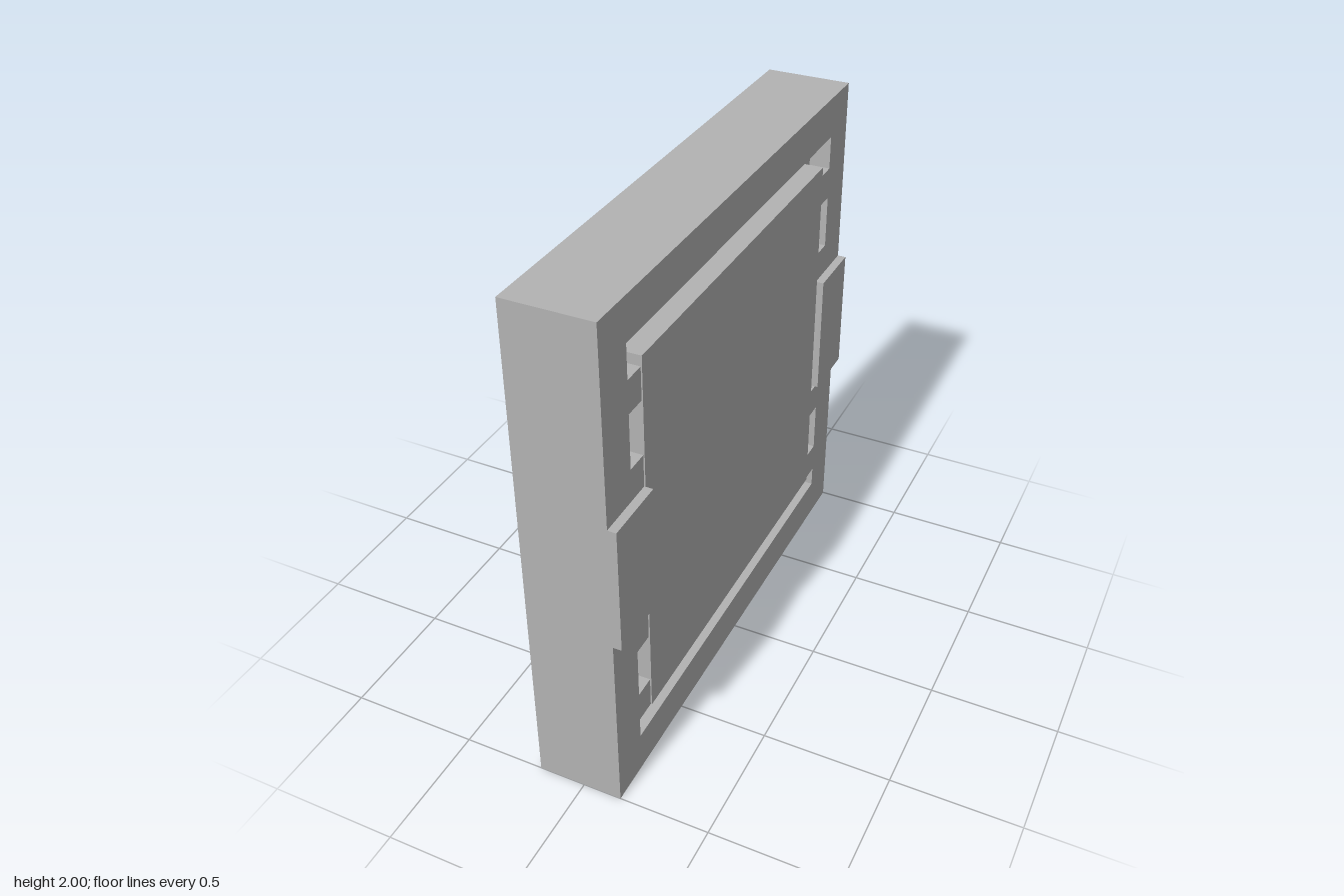
import * as THREE from 'three';

// x positions of the layers, from the back face to the front of the clips
const BACK = -0.183, POCKET = -0.033, FLOOR = 0.067, FACE = 0.15, PANEL = 0.155, CLIP = 0.183;

export function createModel() {
  const group = new THREE.Group();
  const grey = new THREE.MeshStandardMaterial({ color: 0xb3b3b3 });

  const add = (name, geometry) => {
    const mesh = new THREE.Mesh(geometry, grey);
    mesh.name = name;
    group.add(mesh);
  };
  const box = (name, x0, x1, y0, y1, z0, z1) => {
    const g = new THREE.BoxGeometry(x1 - x0, y1 - y0, z1 - z0);
    g.translate((x0 + x1) / 2, (y0 + y1) / 2, (z0 + z1) / 2);
    add(name, g);
  };
  // square slab across z and y with a hole, extruded along x
  const slab = (name, x0, x1, hole) => {
    const toPoints = (list) => list.map(([a, b]) => new THREE.Vector2(a, b));
    const shape = new THREE.Shape(toPoints([[-1, 0], [1, 0], [1, 2], [-1, 2]]));
    shape.holes.push(new THREE.Path(toPoints(hole)));
    const g = new THREE.ExtrudeGeometry(shape, { depth: x1 - x0, bevelEnabled: false });
    g.rotateY(Math.PI / 2);
    g.translate(x0, 0, 0);
    add(name, g);
  };

  // back plate with a square pocket, and the solid core that closes it
  slab('backPlate', BACK, POCKET, [[-0.333, 0.667], [-0.333, 1.333], [0.333, 1.333], [0.333, 0.667]]);
  box('core', POCKET, FLOOR, 0, 2, -1, 1);

  // front frame: its opening has slots on every side, with teeth between them
  const slots = [[0.165, 0.25], [0.375, 0.585], [0.71, 0.92], [1.04, 1.25], [1.375, 1.585], [1.71, 1.84]];
  const outer = 0.835, inner = 0.75;
  const side = [];
  slots.forEach(([y0, y1], i) => {
    if (i > 0) side.push([inner, y0]);
    side.push([outer, y0], [outer, y1]);
    if (i < slots.length - 1) side.push([inner, y1]);
  });
  const mirrored = side.map(([z, y]) => [-z, y]).reverse();
  slab('frontFrame', FLOOR, FACE, [...side, ...mirrored]);

  // raised centre panel
  box('panel', FLOOR, PANEL, 0.25, 1.75, -0.75, 0.75);

  // clips at the middle of both sides
  for (const s of [-1, 1]) {
    box(s > 0 ? 'leftClip' : 'rightClip', FACE, CLIP, 0.75, 1.25, Math.min(s, s * 0.75), Math.max(s, s * 0.75));
  }
  return group;
}
